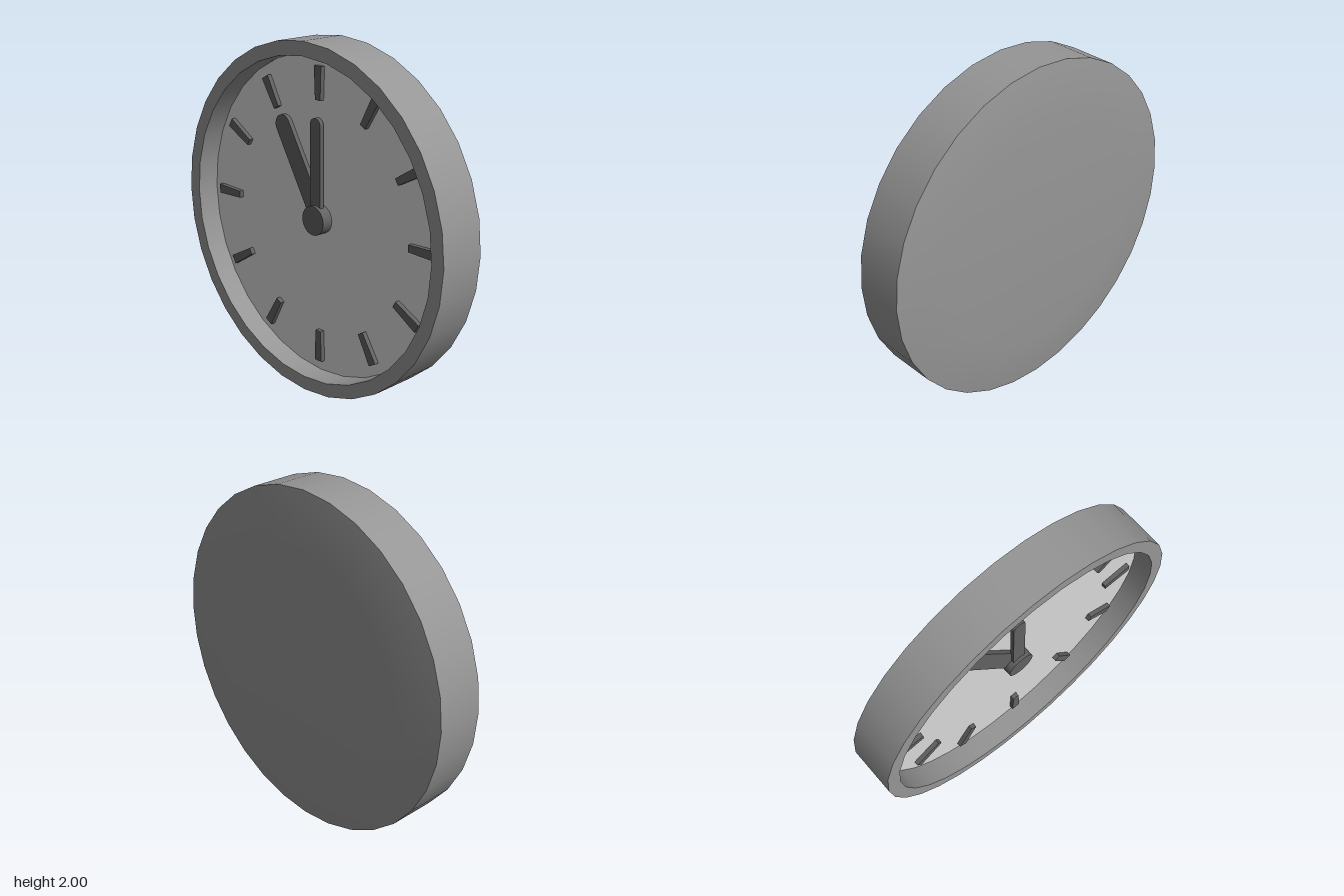
import * as THREE from 'three';

const SIDES = 32;
const FACE_Z = 0.03;

const mat = (name, color, side = THREE.FrontSide) => {
  const m = new THREE.MeshStandardMaterial({ color, side });
  m.name = name;
  return m;
};

export function createModel() {
  const model = new THREE.Group();
  model.name = 'wallClock';
  const clock = new THREE.Group();
  clock.name = 'clock';
  clock.position.y = 1;
  model.add(clock);

  const caseGrey = mat('caseGrey', 0x969696);
  const dialGrey = mat('dialGrey', 0xd9d9d9);
  const darkGrey = mat('darkGrey', 0x626262);

  const add = (name, geometry, material, parent = clock) => {
    const mesh = new THREE.Mesh(geometry, material);
    mesh.name = name;
    parent.add(mesh);
    return mesh;
  };

  // Case: [radius, z] profiles turned around the z axis, split at the sharp edges
  const ring = (name, profile) => {
    const points = profile.map(([r, z]) => new THREE.Vector2(r, z));
    add(name, new THREE.LatheGeometry(points, SIDES).rotateX(Math.PI / 2), caseGrey);
  };
  ring('caseBack', [[0, -0.165], [0.69, -0.165], [1, -0.12]]);
  ring('caseSide', [[1, -0.12], [1, 0.165]]);
  ring('rimFront', [[1, 0.165], [0.92, 0.165]]);
  ring('rimInside', [[0.92, 0.165], [0.92, FACE_Z]]);

  // Dial
  add('dial', new THREE.CircleGeometry(0.92, SIDES), dialGrey).position.z = FACE_Z;

  const extrude = (shape, depth) =>
    new THREE.ExtrudeGeometry(shape, { depth, bevelEnabled: false, curveSegments: 10 });

  // Hour markers: slightly tapered towards the centre
  const markerShape = new THREE.Shape([
    new THREE.Vector2(-0.02, 0.67), new THREE.Vector2(0.02, 0.67),
    new THREE.Vector2(0.027, 0.855), new THREE.Vector2(-0.027, 0.855),
  ]);
  const markerGeometry = extrude(markerShape, 0.027);
  const markers = new THREE.Group();
  markers.name = 'hourMarkers';
  clock.add(markers);
  for (let i = 0; i < 12; i++) {
    const marker = add('hourMarker', markerGeometry, darkGrey, markers);
    marker.position.z = FACE_Z;
    marker.rotation.z = (-i * Math.PI) / 6;
  }

  // Hands: bars with a round tip
  const hand = (name, halfWidth, length, z, depth, angle) => {
    const s = new THREE.Shape();
    s.moveTo(-halfWidth, 0);
    s.lineTo(halfWidth, 0);
    s.lineTo(halfWidth, length);
    s.absarc(0, length, halfWidth, 0, Math.PI, false);
    s.closePath();
    const mesh = add(name, extrude(s, depth), darkGrey);
    mesh.position.z = z;
    mesh.rotation.z = angle;
  };
  hand('broadHand', 0.058, 0.565, FACE_Z, 0.027, Math.PI / 6);
  hand('slimHand', 0.04, 0.535, 0.05, 0.026, 0);

  // Centre hub
  const hub = new THREE.CylinderGeometry(0.084, 0.084, 0.065, 24).rotateX(Math.PI / 2);
  add('hub', hub, darkGrey).position.z = FACE_Z + 0.0325;

  return model;
}
